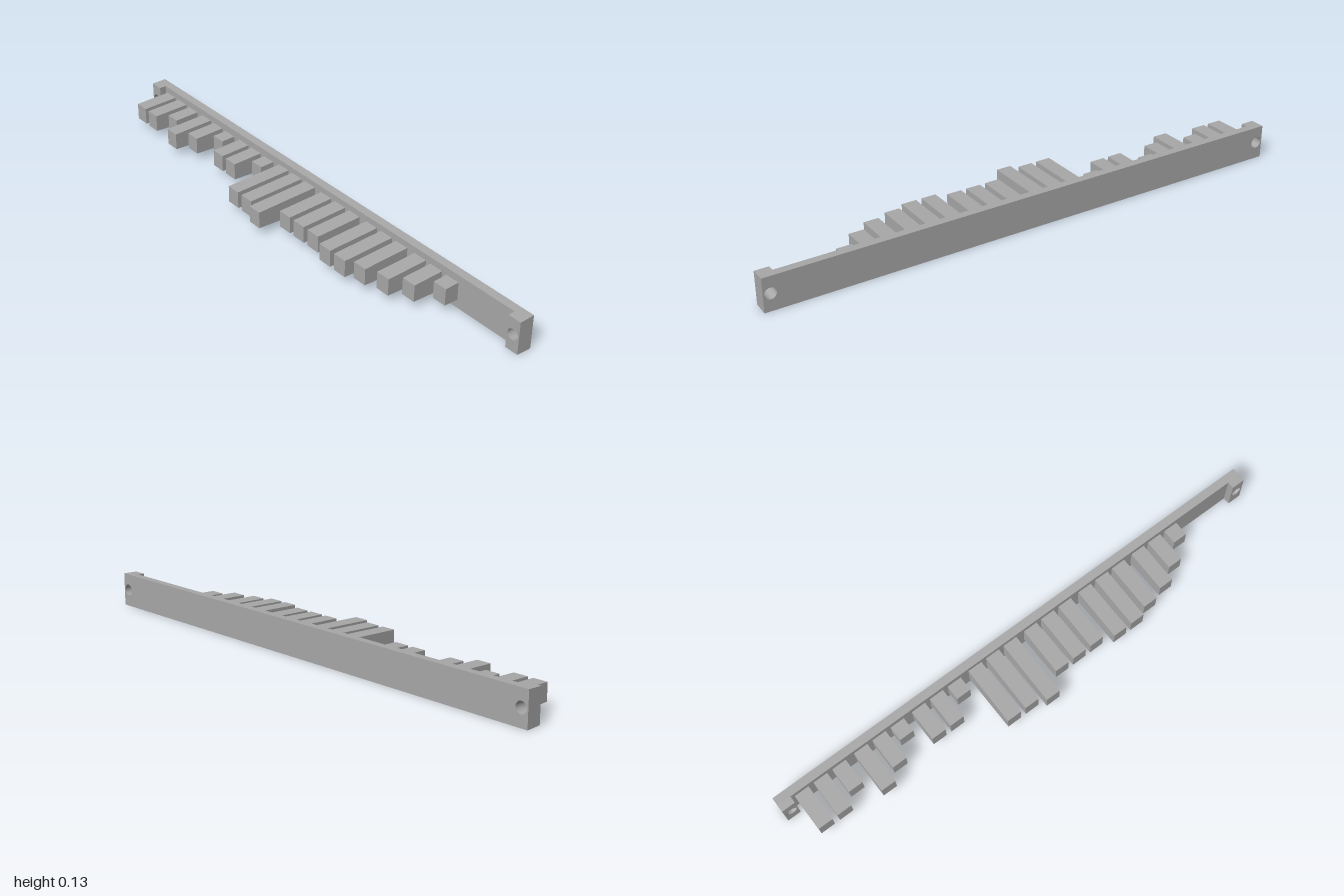
import * as THREE from 'three';

const BACK = -0.138, PLATE_FRONT = -0.107, END_FRONT = -0.081;
const MID_Y = 0.063, DRAFT = 0.035;

// Rectangle centred on x with optional round screw holes
function slab(x0, x1, holes, zBack, zFront) {
  const s = new THREE.Shape();
  s.moveTo(x0, 0);
  s.lineTo(x1, 0);
  s.lineTo(x1, 2 * MID_Y);
  s.lineTo(x0, 2 * MID_Y);
  s.closePath();
  for (const x of holes) {
    s.holes.push(new THREE.Path().absarc(x, MID_Y + 0.001, 0.021, 0, Math.PI * 2, true));
  }
  const g = new THREE.ExtrudeGeometry(s, { depth: zFront - zBack, bevelEnabled: false, curveSegments: 24 });
  g.translate(0, 0, zBack);
  // moulding draft: top and bottom close in slightly towards the front
  const p = g.attributes.position;
  for (let i = 0; i < p.count; i++) {
    const k = 1 - DRAFT * (p.getZ(i) - BACK) / MID_Y;
    p.setY(i, MID_Y + (p.getY(i) - MID_Y) * k);
  }
  g.computeVertexNormals();
  return g;
}

// Block with a fixed tip height that grows towards its root
function pegGeometry(tipZ) {
  const rootZ = PLATE_FRONT, len = tipZ - rootZ, tipH = 0.063;
  const g = new THREE.BoxGeometry(0.055, tipH, len);
  const p = g.attributes.position;
  for (let i = 0; i < p.count; i++) {
    if (p.getZ(i) < 0) p.setY(i, p.getY(i) + Math.sign(p.getY(i)) * len * DRAFT);
  }
  g.computeVertexNormals();
  g.translate(0, 0.0645, rootZ + len / 2);
  return g;
}

export function createModel() {
  const model = new THREE.Group();
  model.name = 'peggedBar';
  const grey = new THREE.MeshStandardMaterial({ color: 0xa8a8a8 });
  grey.name = 'grey';
  const add = (geometry, name) => {
    const m = new THREE.Mesh(geometry, grey);
    m.name = name;
    model.add(m);
    return m;
  };

  // Long back plate and raised end blocks sharing the screw holes
  add(slab(-1, 1, [-0.974, 0.974], BACK, PLATE_FRONT), 'backPlate');
  add(slab(0.949, 1, [0.974], PLATE_FRONT, END_FRONT), 'leftEndBlock');
  add(slab(-1, -0.949, [-0.974], PLATE_FRONT, END_FRONT), 'rightEndBlock');

  // Seven groups of three pegs, each peg cut to one of ten length steps
  const steps = [4, 4, 2, 5, 3, 0, 3, 3, 0, 8, 8, 9, 6, 6, 6, 7, 7, 6, 5, 3, 0];
  steps.forEach((step, i) => {
    const x = -0.909 + Math.floor(i / 3) * 0.24 + (i % 3) * 0.0755;
    add(pegGeometry(-0.052 + step * 0.0211), 'peg' + (i + 1)).position.x = x;
  });
  return model;
}
